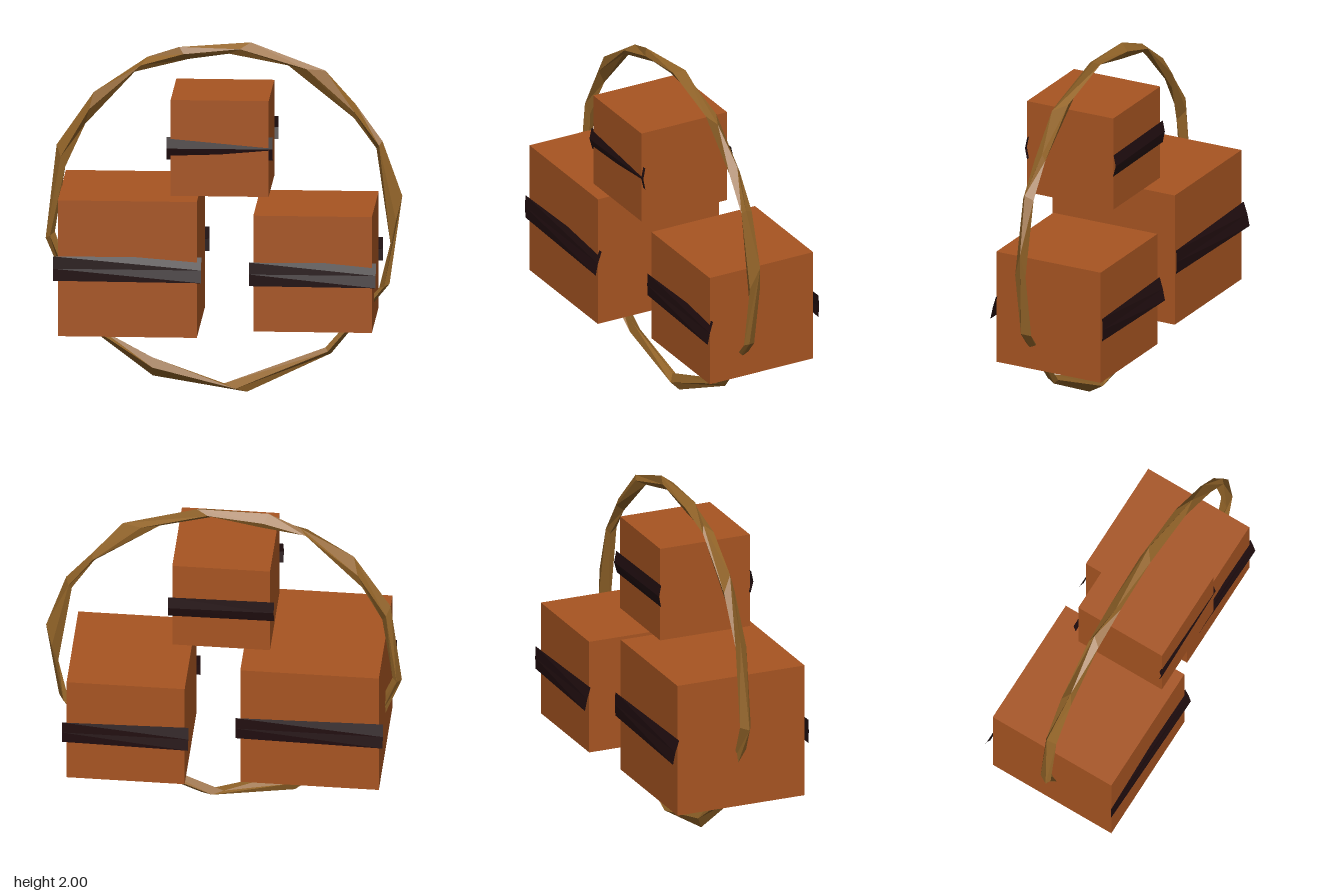
import * as THREE from 'three';

const mat = (name, color) => {
  const m = new THREE.MeshStandardMaterial({ color, flatShading: true });
  m.name = name;
  return m;
};

// Flat-shaded surface through rows of points; optionally closed both ways
function loft(rows, closed) {
  const pos = [];
  const n = rows.length, k = rows[0].length;
  for (let i = 0; i < (closed ? n : n - 1); i++) {
    for (let j = 0; j < (closed ? k : k - 1); j++) {
      const a = rows[i][j], b = rows[i][(j + 1) % k];
      const c = rows[(i + 1) % n][(j + 1) % k], d = rows[(i + 1) % n][j];
      pos.push(...a, ...b, ...c, ...a, ...c, ...d);
    }
  }
  const g = new THREE.BufferGeometry();
  g.setAttribute('position', new THREE.Float32BufferAttribute(pos, 3));
  g.computeVertexNormals();
  return g;
}

export function createModel() {
  const model = new THREE.Group();
  const orange = mat('burnt orange', 0xa85522);
  const bronze = mat('bronze', 0x946529);
  const dark = mat('dark brown', 0x210e10);
  dark.side = THREE.DoubleSide;

  const add = (name, geometry, material, parent = model) => {
    const m = new THREE.Mesh(geometry, material);
    m.name = name;
    parent.add(m);
    return m;
  };

  // Irregular hoop: outer x, y then inner x, y, clockwise from the top
  const stations = [
    [0.15, 2.0, 0.03, 1.94], [0.57, 1.85, 0.36, 1.87], [0.74, 1.65, 0.73, 1.58],
    [0.89, 1.45, 0.855, 1.4], [1.0, 1.13, 0.935, 0.86], [0.93, 0.63, 0.87, 0.6],
    [0.6, 0.22, 0.57, 0.26], [0.13, 0.0, 0.0, 0.04], [-0.4, 0.08, -0.4, 0.19],
    [-0.8, 0.39, -0.68, 0.33], [-0.91, 0.65, -0.86, 0.67], [-1.0, 0.87, -0.95, 0.9],
    [-0.94, 1.4, -0.89, 1.28], [-0.73, 1.71, -0.78, 1.52], [-0.43, 1.91, -0.5, 1.83],
    [-0.25, 1.975, -0.2, 1.9],
  ];
  const rows = stations.map(([ox, oy, ix, iy], i) => {
    const mx = (ox + ix) / 2, my = (oy + iy) / 2, s = i % 2 ? 0.015 : -0.015;
    return [[ox, oy, 0.025 + s], [mx, my, 0.058], [ix, iy, 0.025 - s], [mx, my, -0.008]];
  });
  add('hoop', loft(rows, true), bronze);

  // Cubes, each with a slightly twisted band on the front and on the back.
  // Band ends list z offsets from the face for bottom, middle and top.
  const cubes = [
    { name: 'leftCube', size: 0.665, at: [0.51, 0.725, -0.087], y: [0.655, 0.79],
      w: 0.71, l: [0.012, 0.015, 0.012], r: [0.026, 0.012, -0.008], back: 0.01 },
    { name: 'rightCube', size: 0.78, at: [-0.52, 0.78, 0.027], y: [0.71, 0.85],
      w: 0.83, l: [0.012, 0.015, 0.012], r: [0.028, 0.014, -0.01], back: 0.01 },
    { name: 'topCube', size: 0.55, at: [-0.005, 1.467, 0.087], y: [1.4, 1.53],
      w: 0.595, l: [-0.006, 0.012, -0.002], r: [-0.012, 0.001, -0.012], back: 0.016 },
  ];
  for (const c of cubes) {
    const group = new THREE.Group();
    group.name = c.name;
    group.position.set(...c.at);
    model.add(group);
    add(c.name + 'Body', new THREE.BoxGeometry(c.size, c.size, c.size), orange, group);

    const ys = [c.y[0], (c.y[0] + c.y[1]) / 2, c.y[1]];
    const end = (x, zs) => ys.map((y, i) => [x, y - c.at[1], c.size / 2 + zs[i]]).reverse();
    const band = loft([end(-c.w / 2, c.l), end(c.w / 2, c.r)], false);
    add(c.name + 'FrontBand', band, dark, group);
    const rear = add(c.name + 'BackBand', band, dark, group);
    rear.rotation.y = Math.PI;
    rear.position.z = -c.back;
  }
  return model;
}
